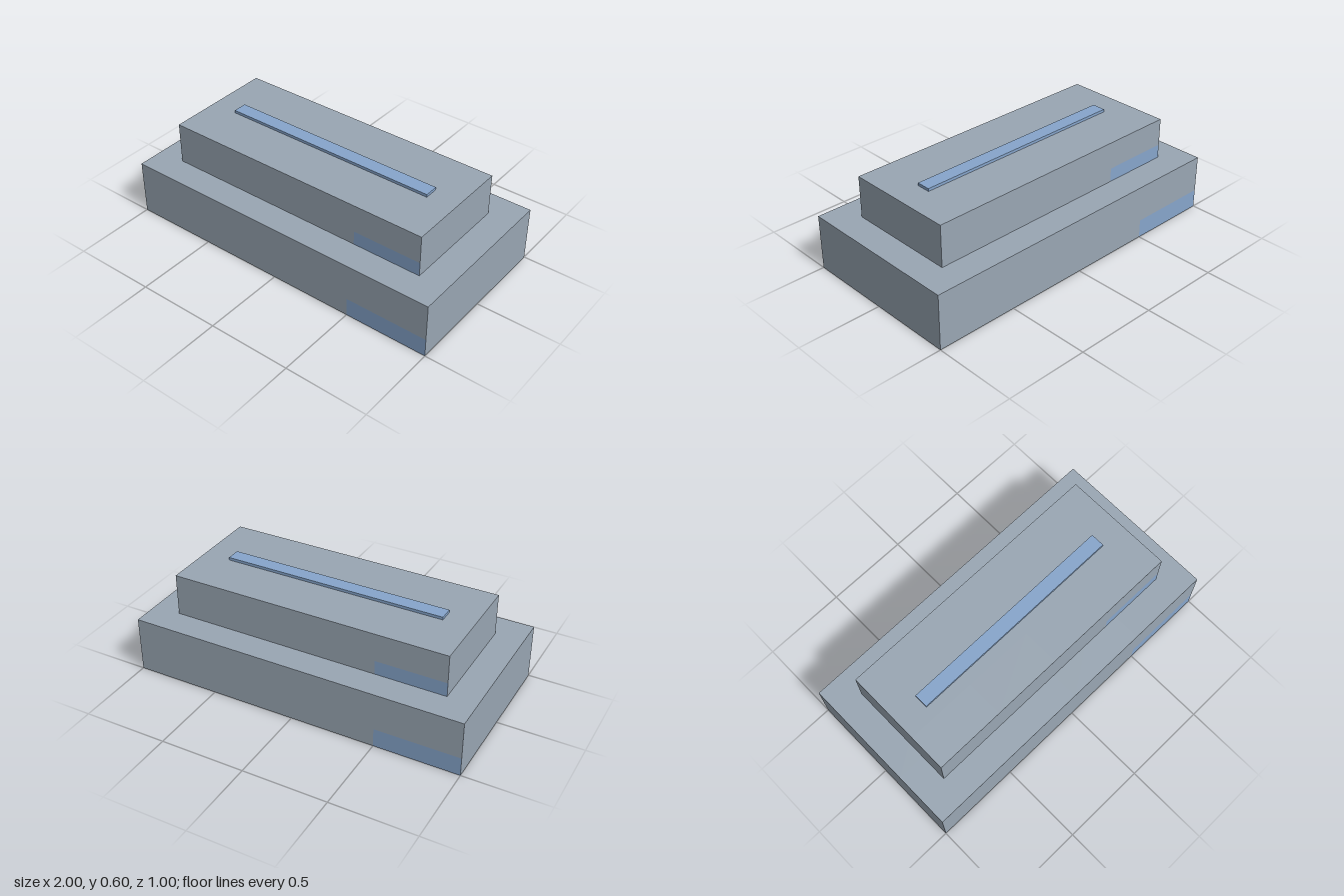
import * as THREE from 'three';

const grey = new THREE.MeshStandardMaterial({ color: 0x99a6b3 });
grey.name = 'slate grey';
const blue = new THREE.MeshStandardMaterial({ color: 0x86a5cb });
blue.name = 'soft blue';

// Box whose front, back and underside each carry one blue corner panel,
// a quarter of the width and a third of the height or depth
function tier(name, w, h, d, y) {
  const COLS = 4, ROWS = 3;
  const geo = new THREE.BoxGeometry(w, h, d, COLS, ROWS, 3);
  const faces = geo.groups.slice();
  const lastCell = COLS * ROWS - 1;
  const panelCell = { 3: 0, 4: lastCell, 5: lastCell }; // underside, front, back
  geo.clearGroups();
  faces.forEach((face, i) => {
    if (!(i in panelCell)) {
      geo.addGroup(face.start, face.count, 0);
      return;
    }
    const start = face.start + panelCell[i] * 6;
    const end = face.start + face.count;
    if (start > face.start) geo.addGroup(face.start, start - face.start, 0);
    geo.addGroup(start, 6, 1);
    if (start + 6 < end) geo.addGroup(start + 6, end - start - 6, 0);
  });
  const mesh = new THREE.Mesh(geo, [grey, blue]);
  mesh.name = name;
  mesh.position.y = y + h / 2;
  return mesh;
}

export function createModel() {
  const model = new THREE.Group();
  model.name = 'steppedBlock';

  // Two stacked tiers
  model.add(tier('lowerTier', 2, 1 / 3, 1, 0));
  model.add(tier('upperTier', 5 / 3, 0.25, 2 / 3, 1 / 3));

  // Slim bar along the top
  const bar = new THREE.Mesh(new THREE.BoxGeometry(4 / 3, 1 / 60, 1 / 12), blue);
  bar.name = 'topBar';
  bar.position.y = 7 / 12 + 1 / 120;
  model.add(bar);

  return model;
}
